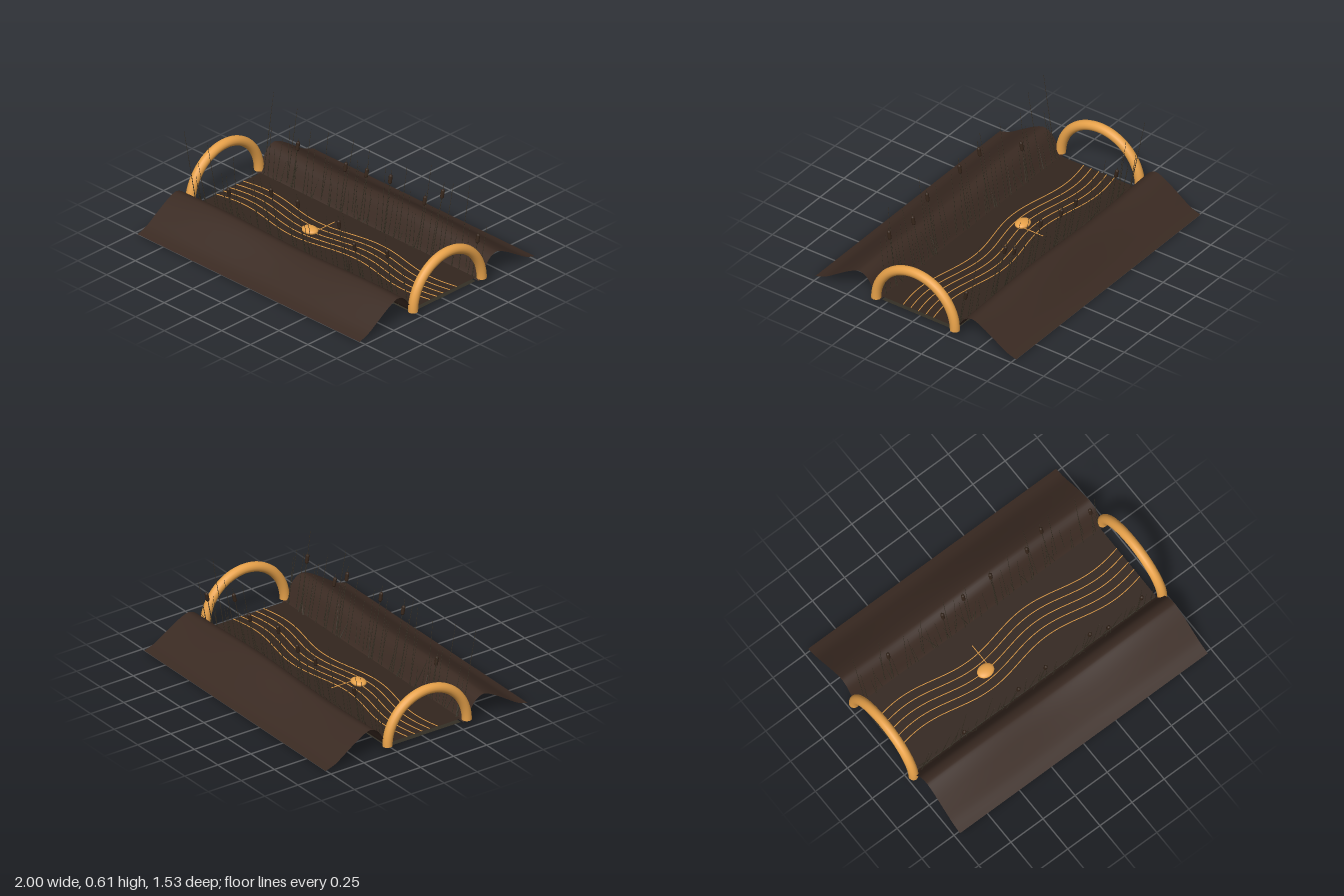
import * as THREE from 'three';

const mat = (color, side = THREE.FrontSide) => new THREE.MeshStandardMaterial({ color, side });

// Small seeded generator for scattered plants and stones
function seeded(seed) {
  return () => {
    seed = (seed * 16807) % 2147483647;
    return seed / 2147483647;
  };
}

export function createModel() {
  const group = new THREE.Group();
  const rand = seeded(4711);
  const range = (a, b) => a + (b - a) * rand();

  const gold = mat(0xe8a24a, THREE.DoubleSide);
  const earth = mat(0x3a2a22, THREE.DoubleSide);
  const waterMat = mat(0x33261e, THREE.DoubleSide);
  const bedMat = mat(0x343026, THREE.DoubleSide);
  const stoneMat = mat(0x3e3c32);
  const reedMat = mat(0x3a3226);
  const headMat = mat(0x35251a);

  const add = (name, geometry, material, parent = group) => {
    const mesh = new THREE.Mesh(geometry, material);
    mesh.name = name;
    parent.add(mesh);
    return mesh;
  };

  // Thin tapered rod between two points
  const up = new THREE.Vector3(0, 1, 0);
  const rod = (name, a, b, r0, r1, material, parent) => {
    const dir = b.clone().sub(a);
    const mesh = add(name, new THREE.CylinderGeometry(r1, r0, dir.length(), 5), material, parent);
    mesh.position.copy(a).add(b).multiplyScalar(0.5);
    mesh.quaternion.setFromUnitVectors(up, dir.normalize());
    return mesh;
  };

  // River bed and water surface
  add('riverBed', new THREE.PlaneGeometry(1.87, 0.56).rotateX(-Math.PI / 2), bedMat).position.y = 0.015;
  add('waterSurface', new THREE.PlaneGeometry(1.87, 0.56).rotateX(-Math.PI / 2), waterMat).position.y = 0.04;

  // Banks: one smooth cross-section swept along x with a gently rolling crest
  const profile = new THREE.SplineCurve([
    [0.28, 0.025], [0.3, 0.05], [0.33, 0.1], [0.37, 0.155], [0.42, 0.18], [0.46, 0.173],
    [0.52, 0.143], [0.6, 0.092], [0.69, 0.035], [0.765, 0.01],
  ].map(([z, y]) => new THREE.Vector2(z, y)));
  const crest = {
    1: x => 1 + 0.05 * Math.cos((x + 0.6) * 4.8),
    [-1]: x => 1.03 + 0.07 * Math.cos((x - 0.27) * 4.2),
  };
  for (const side of [1, -1]) {
    const geo = new THREE.PlaneGeometry(1.93, 1, 60, 28);
    const p = geo.attributes.position;
    for (let i = 0; i < p.count; i++) {
      const x = p.getX(i);
      // Keep the upper face outward on both sides
      const t = side > 0 ? 0.5 - p.getY(i) : 0.5 + p.getY(i);
      const q = profile.getPoint(Math.min(1, Math.max(0, t)));
      p.setXYZ(i, x, 0.01 + (q.y - 0.01) * crest[side](x), side * q.x);
    }
    geo.computeVertexNormals();
    add(side > 0 ? 'frontBank' : 'backBank', geo, earth);
  }

  // End arches with capped feet
  for (const side of [1, -1]) {
    const arch = new THREE.Group();
    arch.name = side > 0 ? 'leftArch' : 'rightArch';
    arch.position.set(side * 0.968, 0.045, 0);
    add('archTube', new THREE.TorusGeometry(0.3, 0.032, 16, 48, Math.PI).rotateY(Math.PI / 2), gold, arch);
    for (const z of [-0.3, 0.3]) {
      add('archFoot', new THREE.CircleGeometry(0.032, 16).rotateX(Math.PI / 2), gold, arch).position.z = z;
    }
    group.add(arch);
  }

  // Current lines on the water
  for (let k = -2; k <= 2; k++) {
    const pts = [];
    for (let i = 0; i <= 40; i++) {
      const x = -0.935 + (1.87 * i) / 40;
      pts.push(new THREE.Vector3(x, 0.042, k * 0.058 - 0.005 - 0.034 * Math.sin((x * Math.PI * 2) / 0.97)));
    }
    add('currentLine', new THREE.TubeGeometry(new THREE.CatmullRomCurve3(pts), 100, 0.003, 5), gold);
  }

  // Floating pebble-shaped boat and its thin pole
  const boat = add('floatingBoat', new THREE.SphereGeometry(1, 24, 16), gold);
  boat.scale.set(0.058, 0.022, 0.046);
  boat.position.set(-0.197, 0.053, 0.03);
  rod('boatPole', new THREE.Vector3(-0.162, 0.05, 0.01), new THREE.Vector3(-0.162, 0.05, -0.15), 0.003, 0.003, gold);

  // Flat stones set in the bed
  const stones = [-0.68, -0.64, -0.5, -0.27, -0.24, -0.05, 0.02, 0.18, 0.25, 0.3, 0.44, 0.5, 0.56, 0.62, 0.74, 0.87];
  stones.forEach((x, i) => {
    const stone = add('bedStone', new THREE.SphereGeometry(1, 10, 8), stoneMat);
    const r = range(0.018, 0.036);
    stone.scale.set(r, 0.012, r * 0.8);
    stone.position.set(x, 0.0125, i % 2 ? range(0.06, 0.17) : range(-0.21, -0.03));
    stone.rotation.y = range(0, 3);
  });

  // Reeds along both banks, leaning outward
  for (const side of [1, -1]) {
    const reeds = new THREE.Group();
    reeds.name = side > 0 ? 'frontReeds' : 'backReeds';
    group.add(reeds);
    for (let i = 0; i < 44; i++) {
      const x = -0.94 + (1.88 * (i + rand())) / 44;
      const z = range(0.265, 0.305);
      const height = i % 4 === 0 ? range(0.42, 0.58) : range(0.15, 0.4);
      const lean = height * range(0.1, 0.22);
      rod('reed', new THREE.Vector3(x, 0.035, side * z),
        new THREE.Vector3(x + range(-0.02, 0.02), 0.035 + height, side * (z + lean)), 0.003, 0.001, reedMat, reeds);
    }
    // Short splayed blades at the waterline
    for (let i = 0; i < 14; i++) {
      const x = range(-0.93, 0.93), z = range(0.265, 0.29);
      rod('blade', new THREE.Vector3(x, 0.035, side * z),
        new THREE.Vector3(x + range(-0.06, 0.06), range(0.12, 0.25), side * (z + range(0.03, 0.08))),
        0.004, 0.0008, reedMat, reeds);
    }
  }

  // Cattails: stalk with a fat seed head
  const cattails = [
    [-0.67, 0.31], [-0.6, 0.28], [-0.25, 0.33], [-0.2, 0.45], [-0.08, 0.35], [0.02, 0.45], [0.13, 0.39],
    [0.37, 0.44], [0.42, 0.35], [0.51, 0.34], [0.55, 0.44], [0.78, 0.39], [0.9, 0.28],
  ];
  cattails.forEach(([x, y], i) => {
    const side = i % 2 ? 1 : -1;
    const foot = new THREE.Vector3(x, 0.035, side * 0.285);
    const head = new THREE.Vector3(x, y, side * (0.285 + (y - 0.035) * range(0.14, 0.23)));
    const tip = foot.clone().lerp(head, 1.18);
    const stalk = rod('cattailStalk', foot, tip, 0.004, 0.0015, reedMat);
    const seed = add('cattailHead', new THREE.CapsuleGeometry(0.012, 0.04, 4, 10), headMat);
    seed.position.copy(head);
    seed.quaternion.copy(stalk.quaternion);
  });

  return group;
}
